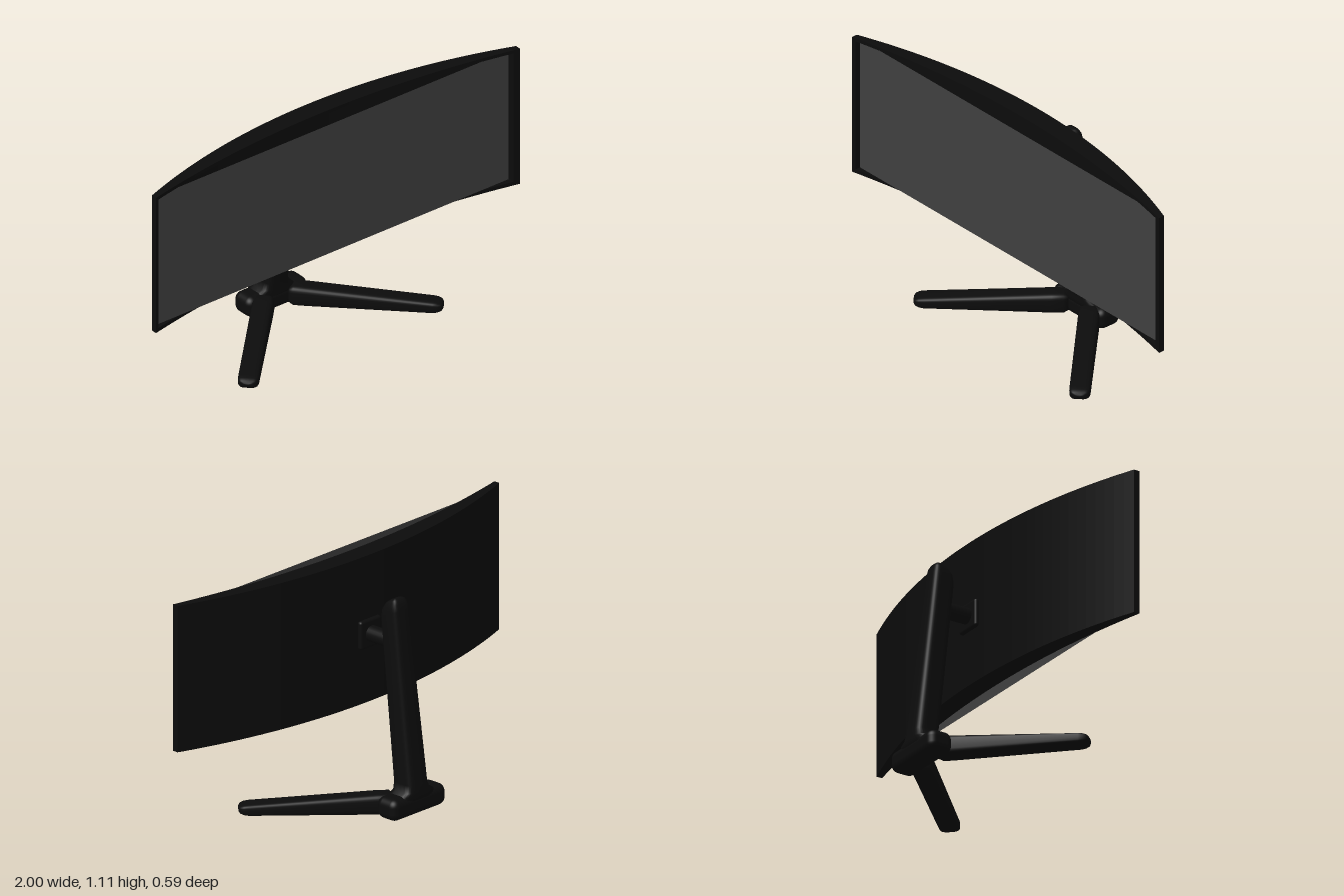
import * as THREE from 'three';
import { RoundedBoxGeometry } from 'three/addons/geometries/RoundedBoxGeometry.js';

const black = new THREE.MeshStandardMaterial({ color: 0x0c0c0c });
const grey = new THREE.MeshStandardMaterial({ color: 0x404040, side: THREE.DoubleSide });
const V = (x, y, z) => new THREE.Vector3(x, y, z);

// Depth of the curved back and of the flatter front rim at a given x
const arc = (r, z0) => x => z0 + r - Math.sqrt(r * r - x * x);
const backZ = arc(2.87, 0);
const frontZ = arc(4.5, 0.095);

// Upright slab between two depth curves
function slab(x0, x1, back, front, y0, y1) {
  const n = Math.max(2, Math.round((x1 - x0) * 20));
  const xs = Array.from({ length: n + 1 }, (_, i) => x0 + (x1 - x0) * i / n);
  const points = [
    ...xs.map(x => new THREE.Vector2(x, back(x))),
    ...xs.reverse().map(x => new THREE.Vector2(x, front(x))),
  ];
  const geo = new THREE.ExtrudeGeometry(new THREE.Shape(points), { depth: y1 - y0, bevelEnabled: false });
  geo.rotateX(Math.PI / 2);
  geo.translate(0, y1, 0);
  return geo;
}

// Closed skin over rounded-rectangle sections [centre, half axis u, half axis v]
function loft(sections, power = 0.5, n = 32) {
  const pos = [], index = [];
  const round = t => Math.sign(t) * Math.abs(t) ** power;
  for (const [c, u, v] of sections) {
    for (let j = 0; j < n; j++) {
      const a = j / n * Math.PI * 2;
      const p = c.clone().addScaledVector(u, round(Math.cos(a))).addScaledVector(v, round(Math.sin(a)));
      pos.push(p.x, p.y, p.z);
    }
  }
  const last = (sections.length - 1) * n;
  for (let i = 0; i < last; i += n) {
    for (let j = 0; j < n; j++) {
      const k = (j + 1) % n;
      index.push(i + j, i + k, i + n + j, i + k, i + n + k, i + n + j);
    }
  }
  const first = sections[0][0], end = sections[sections.length - 1][0];
  pos.push(first.x, first.y, first.z, end.x, end.y, end.z);
  const c0 = last + n;
  for (let j = 0; j < n; j++) {
    const k = (j + 1) % n;
    index.push(c0, k, j, c0 + 1, last + j, last + k);
  }
  const geo = new THREE.BufferGeometry();
  geo.setAttribute('position', new THREE.Float32BufferAttribute(pos, 3));
  geo.setIndex(index);
  geo.computeVertexNormals();
  return geo;
}

export function createModel() {
  const model = new THREE.Group();
  model.name = 'curvedMonitor';
  const add = (name, geo, material = black, parent = model) => {
    const mesh = new THREE.Mesh(geo, material);
    mesh.name = name;
    parent.add(mesh);
    return mesh;
  };

  // Curved housing: thin back shell and four rails
  const housing = new THREE.Group();
  housing.name = 'housing';
  model.add(housing);
  const bottom = 0.437, top = 1.11;
  const shellFront = x => backZ(x) + 0.02 * (1 - x * x) + 0.0005;
  add('backShell', slab(-1, 1, backZ, shellFront, bottom, top), black, housing);
  add('topRail', slab(-1, 1, backZ, frontZ, top - 0.016, top), black, housing);
  add('bottomRail', slab(-1, 1, backZ, frontZ, bottom, bottom + 0.018), black, housing);
  add('rightRail', slab(-1, -0.982, backZ, frontZ, bottom, top), black, housing);
  add('leftRail', slab(0.97, 1, backZ, frontZ, bottom, top), black, housing);

  // Flat display panel, turned very slightly
  const screen = add('screen', new THREE.PlaneGeometry(1.952, 0.64), grey);
  screen.position.set(-0.006, 0.775, 0.174);
  screen.rotation.y = 0.004;

  // Mounting plate and arm
  add('mountPlate', new RoundedBoxGeometry(0.13, 0.13, 0.03, 3, 0.012)).position.set(0, 0.755, -0.002);
  const arm = add('mountArm', new THREE.CylinderGeometry(0.036, 0.036, 0.16, 24));
  arm.rotation.x = Math.PI / 2;
  arm.position.set(0, 0.755, -0.09);

  // Leaning column with flared foot and slanted top: [front y, front z, back y, back z, half width]
  const column = [
    [0.05, -0.194, 0.05, -0.309, 0.12],
    [0.095, -0.193, 0.095, -0.309, 0.1],
    [0.108, -0.193, 0.108, -0.308, 0.073],
    [0.14, -0.189, 0.14, -0.305, 0.061],
    [0.72, -0.121, 0.72, -0.229, 0.051],
    [0.87, -0.104, 0.91, -0.205, 0.048],
    [0.905, -0.109, 0.94, -0.199, 0.045],
    [0.935, -0.128, 0.957, -0.188, 0.036],
    [0.95, -0.146, 0.962, -0.176, 0.022],
  ];
  add('column', loft(column.map(([yf, zf, yb, zb, w]) => [
    V(0, (yf + yb) / 2, (zf + zb) / 2), V(0, (yf - yb) / 2, (zf - zb) / 2), V(w, 0, 0),
  ])));

  // Base hub
  add('baseHub', new RoundedBoxGeometry(0.33, 0.098, 0.118, 5, 0.035)).position.set(0, 0.05, -0.251);

  // Two splayed, tapering legs: [distance, half width, bottom y, top y]
  const leg = [
    [-0.03, 0.03, 0.012, 0.085],
    [-0.01, 0.046, 0.004, 0.098],
    [0.04, 0.047, 0.003, 0.097],
    [0.59, 0.046, 0.004, 0.056],
    [0.612, 0.043, 0.007, 0.053],
    [0.628, 0.035, 0.013, 0.047],
    [0.635, 0.02, 0.022, 0.038],
  ];
  const legGeo = loft(leg.map(([d, w, y0, y1]) => [
    V(0, (y0 + y1) / 2, d), V(w, 0, 0), V(0, (y1 - y0) / 2, 0),
  ]));
  for (const [name, side] of [['leftLeg', 1], ['rightLeg', -1]]) {
    const mesh = add(name, legGeo);
    mesh.position.set(side * 0.09, 0, -0.19);
    mesh.rotation.y = side * Math.PI / 4;
  }
  return model;
}
